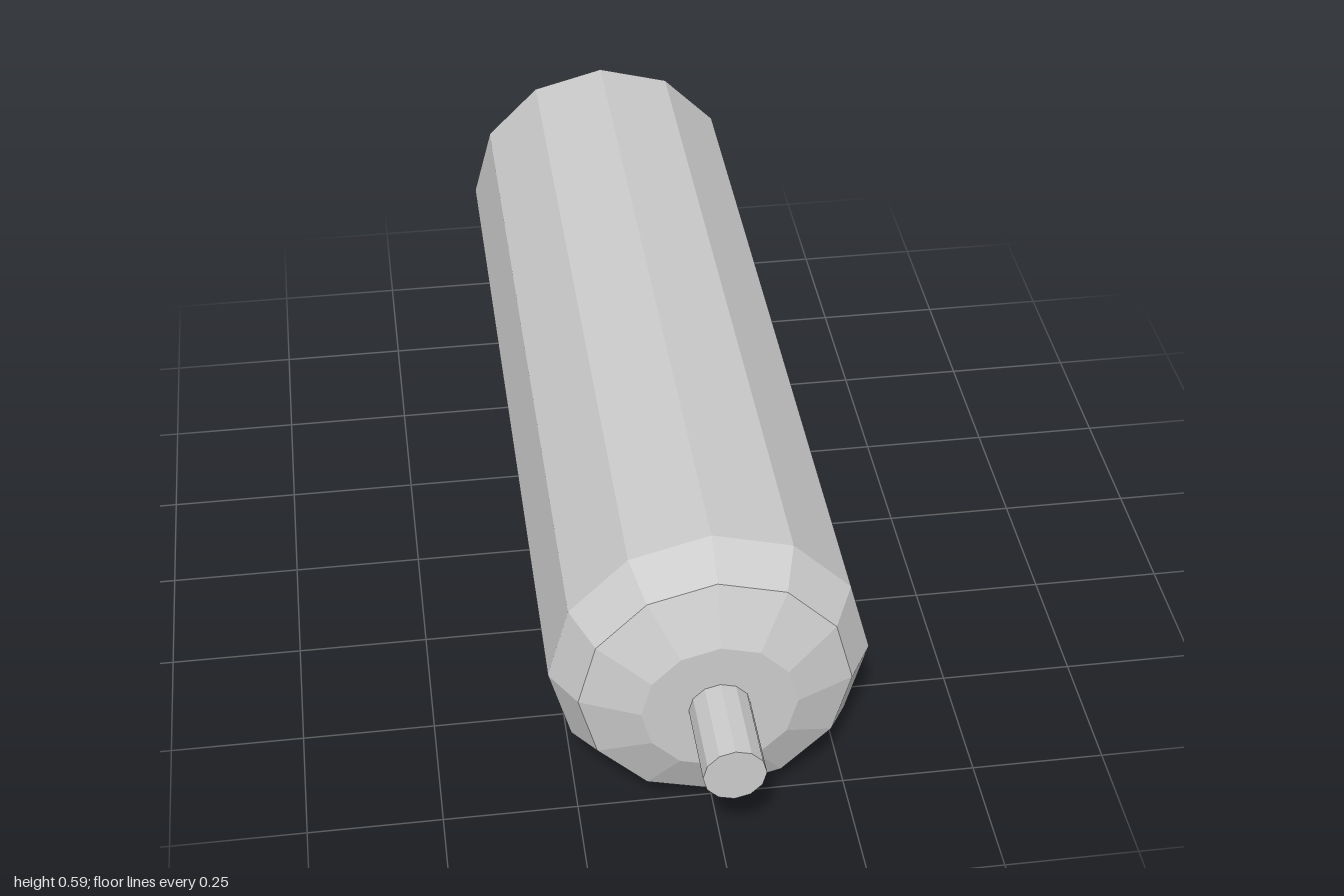
import * as THREE from 'three';

const SIDES = 12;
const AXIS_Y = 0.295;

// Faceted solid of revolution along z, from [radius, z] points listed back to front
function turned(name, profile, material) {
  const points = profile.map(([r, z]) => new THREE.Vector2(r, z));
  const geometry = new THREE.LatheGeometry(points, SIDES);
  geometry.rotateX(Math.PI / 2);
  const mesh = new THREE.Mesh(geometry, material);
  mesh.name = name;
  mesh.position.y = AXIS_Y;
  return mesh;
}

export function createModel() {
  const group = new THREE.Group();
  group.name = 'gasCylinder';
  const grey = new THREE.MeshStandardMaterial({ color: 0xcccccc, flatShading: true });

  // Long body with a chamfered base and a stepped shoulder
  group.add(turned('cylinderBody', [
    [0, -1], [0.24, -1], [0.294, -0.95],
    [0.294, 0.705], [0.248, 0.782], [0.141, 0.83], [0, 0.83],
  ], grey));

  // Thin outlet neck
  group.add(turned('neck', [[0, 0.82], [0.056, 0.82], [0.056, 1], [0, 1]], grey));

  return group;
}
